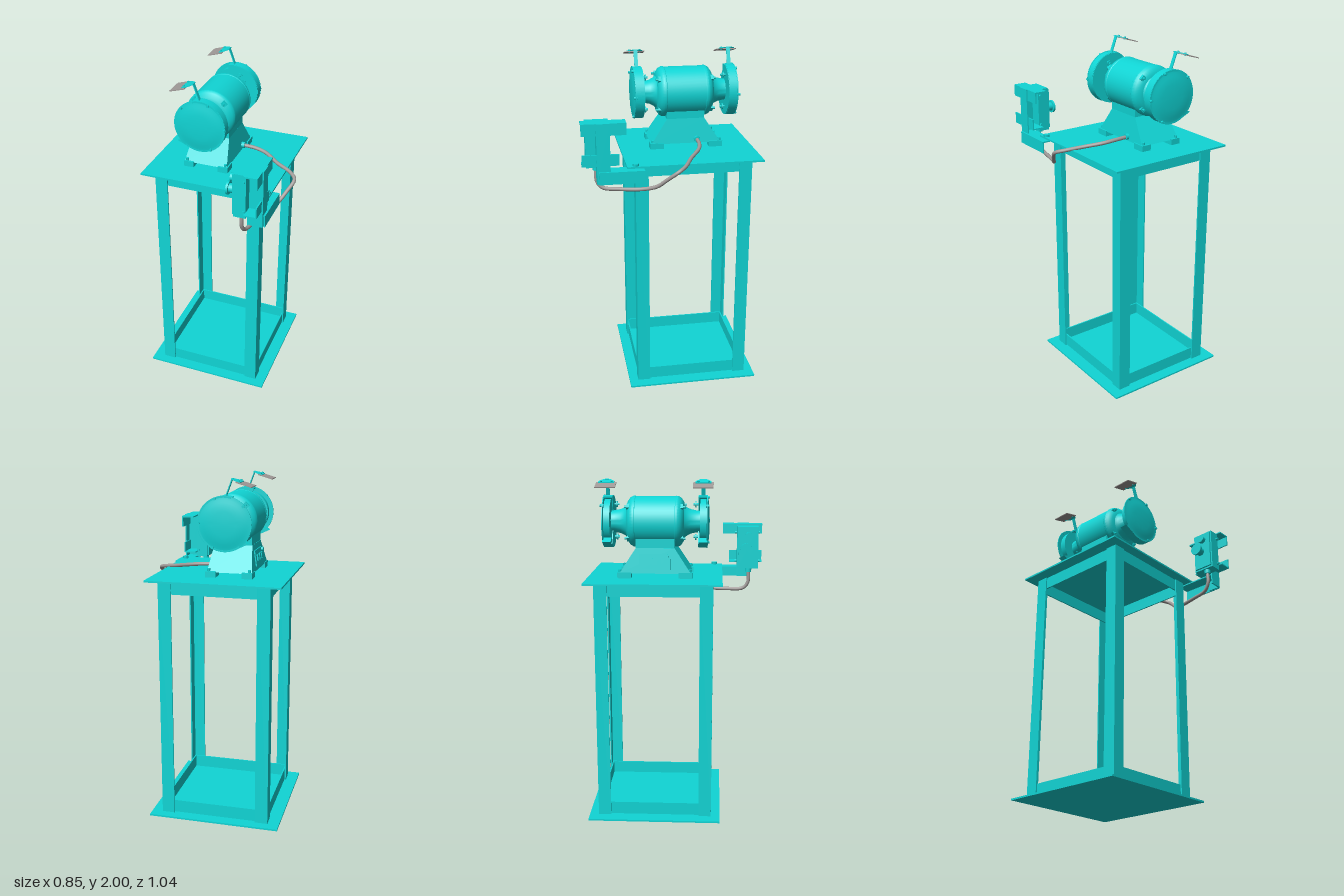
import * as THREE from 'three';
import { toCreasedNormals } from 'three/addons/utils/BufferGeometryUtils.js';

const teal = new THREE.MeshStandardMaterial({ color: 0x10d5d5, side: THREE.DoubleSide });
const grey = new THREE.MeshStandardMaterial({ color: 0xa09a98, side: THREE.DoubleSide });
const CX = -0.09, CY = 1.755, CZ = -0.127; // motor centre

export function createModel() {
  const model = new THREE.Group();
  const add = (name, geo, x = 0, y = 0, z = 0, mat = teal, parent = model) => {
    const m = new THREE.Mesh(geo, mat);
    m.name = name;
    m.position.set(x, y, z);
    parent.add(m);
    return m;
  };
  // box from its min and max on each axis
  const box = (name, x0, x1, y0, y1, z0, z1, mat = teal, parent = model) =>
    add(name, new THREE.BoxGeometry(x1 - x0, y1 - y0, z1 - z0),
      (x0 + x1) / 2, (y0 + y1) / 2, (z0 + z1) / 2, mat, parent);
  const rod = (name, axis, r, len, x, y, z, sides = 20, parent = model) => {
    const g = new THREE.CylinderGeometry(r, r, len, sides);
    if (axis === 'x') g.rotateZ(Math.PI / 2);
    if (axis === 'z') g.rotateX(Math.PI / 2);
    return add(name, g, x, y, z, teal, parent);
  };
  // solid of revolution about z; profile pairs are [radius, distance along s*z]
  const spun = (name, pts, x, y, z, s = 1) => {
    const g = new THREE.LatheGeometry(pts.map(p => new THREE.Vector2(...p)), 48);
    g.rotateX(s * Math.PI / 2);
    return add(name, toCreasedNormals(g, 0.5), x, y, z);
  };

  // stand: two plates, four angle legs, thin rails top and bottom
  const X0 = -0.36, X1 = 0.285, Z0 = -0.467, Z1 = 0.212, W = 0.075, T = 0.008;
  box('tableTop', -0.428, 0.348, 1.43, 1.44, -0.521, 0.265);
  box('bottomPlate', -0.428, 0.348, 0, 0.01, -0.521, 0.265);
  for (const [x, sx] of [[X0, 1], [X1, -1]]) for (const [z, sz] of [[Z0, 1], [Z1, -1]]) {
    const s = new THREE.Shape([[0, 0], [W, 0], [W, T], [T, T], [T, W], [0, W]]
      .map(([a, b]) => new THREE.Vector2(x + sx * a, -(z + sz * b))));
    const g = new THREE.ExtrudeGeometry(s, { depth: 1.42, bevelEnabled: false });
    g.rotateX(-Math.PI / 2);
    add('leg', g, 0, 0.01, 0);
  }
  for (const y of [0.014, 1.355]) {
    for (const z of [Z0 + T, Z1 - 2 * T]) box('railAcross', X0 + T, X1 - T, y, y + 0.075, z, z + T);
    for (const x of [X0 + T, X1 - 2 * T]) box('railAlong', x, x + T, y, y + 0.075, Z0 + T, Z1 - T);
  }

  // pedestal: tapered block, saddle and feet
  const ped = new THREE.BoxGeometry(0.262, 0.145, 0.415);
  const pp = ped.attributes.position;
  for (let i = 0; i < pp.count; i++) if (pp.getY(i) > 0) {
    pp.setX(i, pp.getX(i) * 0.84);
    pp.setZ(i, pp.getZ(i) * 0.54);
  }
  ped.computeVertexNormals();
  add('pedestal', ped, CX - 0.005, 1.54, CZ + 0.002);
  box('pedestalSaddle', CX - 0.113, CX + 0.105, 1.605, 1.67, CZ - 0.11, CZ + 0.114);
  for (const sx of [-1, 1]) for (const sz of [-1, 1]) {
    const x = CX - 0.003 + sx * 0.106, z = CZ + sz * 0.177;
    box('foot', x - 0.03, x + 0.03, 1.44, 1.474, z - 0.04, z + 0.04);
    rod('footBolt', 'y', 0.009, 0.02, x + sx * 0.012, 1.48, z + sz * 0.025, 6);
  }
  // control panel on the sloped side
  const panel = new THREE.Group();
  panel.name = 'controlPanel';
  panel.position.set(-0.217, 1.535, CZ);
  panel.rotation.z = -0.14;
  model.add(panel);
  box('panelFrame', -0.006, 0.006, -0.045, 0.045, -0.09, 0.09, teal, panel);
  for (const z of [-0.05, 0, 0.05]) box('panelBlock', -0.014, 0, -0.018, 0.018, z - 0.015, z + 0.015, teal, panel);
  rod('panelKnob', 'x', 0.012, 0.02, -0.01, 0.03, 0.07, 16, panel);

  // motor housing
  const half = [[0.145, 0.115], [0.147, 0.118], [0.147, 0.13], [0.138, 0.147], [0.115, 0.163],
    [0.095, 0.167], [0.083, 0.178], [0.07, 0.205], [0.063, 0.24], [0.063, 0.258]];
  spun('motorHousing', [...half.map(([r, y]) => [r, -y]).reverse(), ...half], CX, CY, CZ);
  for (const s of [-1, 1]) for (let k = 0; k < 4; k++) {
    const a = Math.PI / 4 + k * Math.PI / 2;
    const lug = add('housingLug', new THREE.BoxGeometry(0.022, 0.03, 0.035),
      CX + Math.cos(a) * 0.127, CY + Math.sin(a) * 0.127, CZ + s * 0.145);
    lug.rotation.z = a;
    rod('lugBolt', 'z', 0.007, 0.02, CX + Math.cos(a) * 0.127, CY + Math.sin(a) * 0.127, CZ + s * 0.167, 6);
  }

  // wheel, guard and eye shield at each end
  for (const s of [-1, 1]) {
    const zIn = CZ + s * 0.25, zMid = CZ + s * 0.277, zOut = CZ + s * 0.301;
    rod('grindingWheel', 'z', 0.128, 0.036, CX, CY, zMid, 48);
    // rim open on the work side, with a lip at its lower end
    const a0 = -2.2, a1 = 1.85, rim = new THREE.Shape();
    rim.absarc(0, 0, 0.151, a0, a1, false);
    rim.absarc(0, 0, 0.142, a1, a0, true);
    add('guardRim', new THREE.ExtrudeGeometry(rim, { depth: 0.052, bevelEnabled: false, curveSegments: 40 }),
      CX, CY, zMid - 0.026);
    const back = new THREE.Shape();
    back.absarc(0, 0, 0.149, a0, a1, false);
    back.lineTo(0, 0);
    add('guardBack', new THREE.ExtrudeGeometry(back, { depth: 0.005, bevelEnabled: false, curveSegments: 40 }),
      CX, CY, zIn - 0.0025);
    const lip = new THREE.Shape([[-0.135, -0.105], [-0.095, -0.085], [-0.05, -0.14], [-0.085, -0.128]]
      .map(p => new THREE.Vector2(...p)));
    add('guardLip', new THREE.ExtrudeGeometry(lip, { depth: 0.05, bevelEnabled: false }), CX, CY, zMid - 0.025);
    // domed outer cover
    spun('guardCover', [[0, -0.004], [0.153, -0.004], [0.153, 0.001], [0.13, 0.003], [0.115, 0.007],
      [0.07, 0.011], [0, 0.013]], CX, CY, zOut, s);
    for (const a of [0, 1.2, 2.4, -1.1])
      rod('coverScrew', 'z', 0.008, 0.02, CX + Math.cos(a) * 0.145, CY + Math.sin(a) * 0.145, zOut + s * 0.002, 8);
    // clamp screws beside the neck
    for (const [dx, dy] of [[0.04, 0.095], [0.04, -0.095]]) {
      rod('clampScrew', 'z', 0.007, 0.035, CX + dx, CY + dy, zIn - s * 0.015, 10);
      rod('clampKnob', 'z', 0.018, 0.008, CX + dx, CY + dy, zIn - s * 0.018, 6);
    }
    // shield: bent arm, tapered mount and grey pane
    const arm = add('shieldArm', new THREE.BoxGeometry(0.005, 0.105, 0.022), -0.113, 1.95, zMid);
    arm.rotation.z = 0.36;
    const tilt = new THREE.Group();
    tilt.name = 'eyeShield';
    tilt.position.set(-0.13, 1.998, zMid);
    tilt.rotation.z = 0.28;
    model.add(tilt);
    const mount = new THREE.Shape([[0.003, -0.018], [0.003, 0.018], [-0.03, 0.045], [-0.056, 0.045],
      [-0.056, -0.045], [-0.03, -0.045]].map(p => new THREE.Vector2(...p)));
    const mg = new THREE.ExtrudeGeometry(mount, { depth: 0.004, bevelEnabled: false });
    mg.rotateX(-Math.PI / 2);
    add('shieldMount', mg, 0, -0.004, 0, teal, tilt);
    box('shieldPane', -0.125, -0.035, -0.009, -0.004, -0.058, 0.058, grey, tilt);
    for (const z of [-0.03, 0.03]) rod('shieldScrew', 'y', 0.006, 0.018, -0.045, -0.003, z, 8, tilt);
  }

  // switch bracket: arm bolted under the table, post and two cross angles
  box('armTop', 0.302, 0.386, 1.42, 1.428, 0.17, 0.425);
  box('armSide', 0.378, 0.386, 1.357, 1.428, 0.17, 0.425);
  rod('armBolt', 'y', 0.018, 0.024, 0.33, 1.442, 0.216, 6);
  box('postFace', 0.367, 0.375, 1.357, 1.70, 0.36, 0.435);
  box('postWeb', 0.297, 0.375, 1.357, 1.70, 0.427, 0.435);
  box('upperAngleTop', 0.292, 0.367, 1.692, 1.70, 0.268, 0.517);
  box('upperAngleSide', 0.36, 0.368, 1.632, 1.70, 0.268, 0.517);
  box('lowerAngleSide', 0.36, 0.368, 1.46, 1.525, 0.31, 0.517);
  box('lowerAngleBottom', 0.292, 0.367, 1.46, 1.467, 0.31, 0.517);

  // switch box with button, knob and cable gland
  box('switchBox', 0.228, 0.297, 1.43, 1.69, 0.357, 0.49);
  box('switchCover', 0.217, 0.23, 1.44, 1.68, 0.365, 0.482);
  for (const y of [1.47, 1.65]) for (const z of [0.352, 0.495]) rod('boxScrew', 'z', 0.008, 0.014, 0.285, y, z, 8);
  rod('startButton', 'x', 0.023, 0.03, 0.207, 1.635, 0.43);
  rod('stopStem', 'x', 0.026, 0.045, 0.198, 1.555, 0.413);
  rod('stopKnob', 'x', 0.038, 0.012, 0.172, 1.555, 0.413, 28);
  rod('cableGland', 'y', 0.02, 0.04, 0.255, 1.425, 0.43, 12);

  // power cable from pedestal to switch box
  const path = [[0.02, 1.49, -0.19], [0.12, 1.485, -0.188], [0.19, 1.475, -0.17], [0.28, 1.455, -0.11],
    [0.38, 1.437, -0.057], [0.415, 1.42, -0.015], [0.39, 1.37, 0.045], [0.355, 1.32, 0.1], [0.31, 1.293, 0.18],
    [0.28, 1.29, 0.3], [0.262, 1.3, 0.4], [0.255, 1.34, 0.43], [0.255, 1.42, 0.43]];
  const curve = new THREE.CatmullRomCurve3(path.map(p => new THREE.Vector3(...p)));
  add('powerCable', new THREE.TubeGeometry(curve, 90, 0.011, 12), 0, 0, 0, grey);
  rod('cableInlet', 'x', 0.018, 0.03, 0.035, 1.49, -0.19, 12);
  return model;
}
